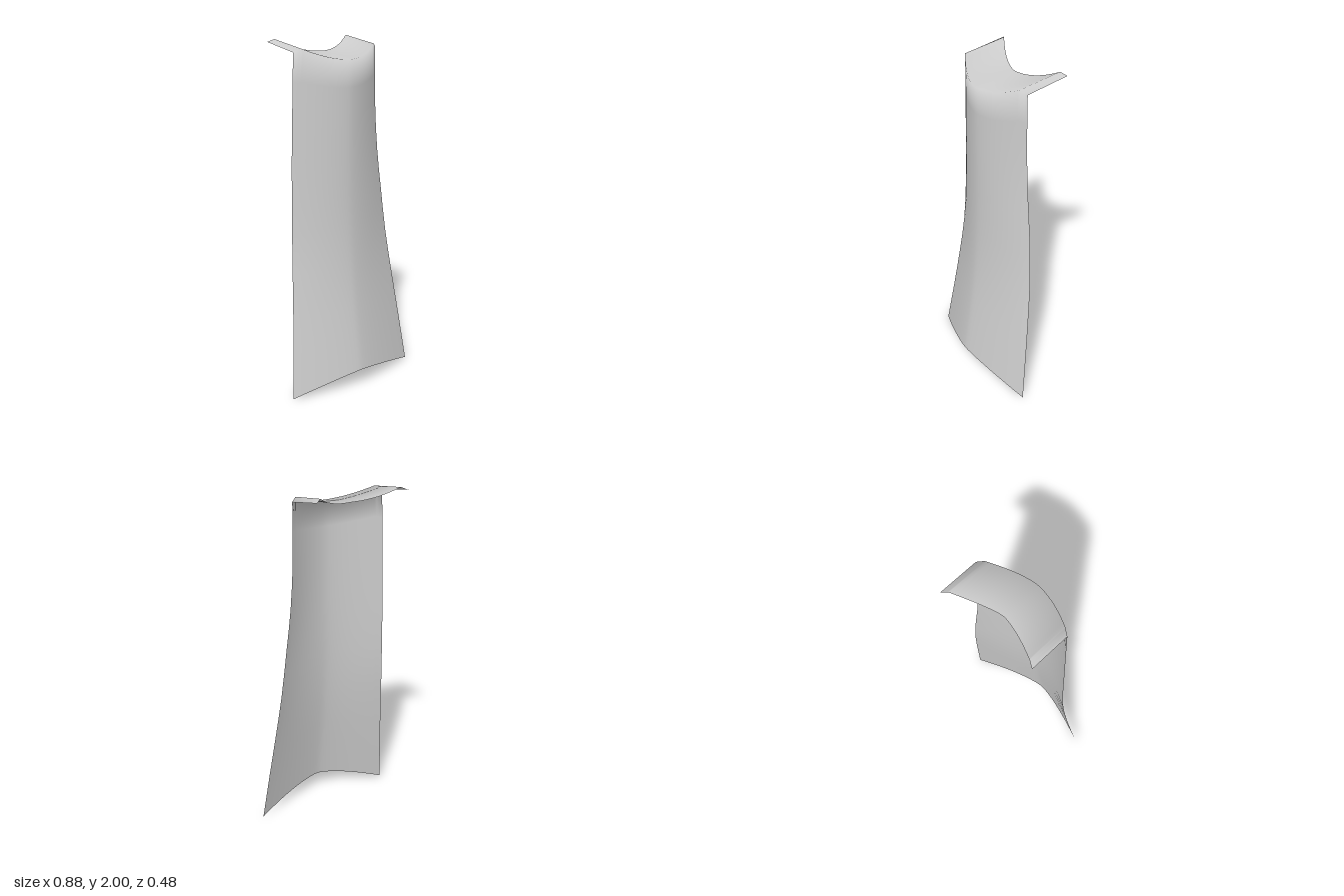
import * as THREE from 'three';

const CX = -0.03;      // x of the lengthwise centre line
const HALF = 20;       // columns on each side of it
const RIDGE = 0.88;    // where the top rim peaks before turning down

// Cross-sections, bottom to top:
// [centre y, edge y, right x, left x, centre z, edge z, bend exponent]
const SECTIONS = [
  [0.10, 0.00, -0.445, 0.440, 0.237, 0.122, 1.40],
  [0.35, 0.30, -0.411, 0.408, 0.199, 0.084, 1.45],
  [0.60, 0.57, -0.385, 0.377, 0.165, 0.050, 1.50],
  [0.85, 0.83, -0.364, 0.347, 0.143, 0.022, 1.60],
  [1.10, 1.10, -0.353, 0.316, 0.133, 0.010, 1.70],
  [1.35, 1.35, -0.347, 0.285, 0.131, 0.006, 1.70],
  [1.60, 1.62, -0.338, 0.266, 0.131, 0.005, 1.70],
];
// Rim curves: [centre y, ridge y, edge y, right x, left x, centre z, edge z, z exponent, y exponent]
const CREASE = [1.90, 1.965, 1.945, -0.327, 0.262, 0.131, 0.005, 1.70, 1.9];
const BACK = [1.93, 2.00, 1.985, -0.320, 0.264, -0.115, -0.240, 1.50, 2.2];

const acrossX = (t, right, left) => CX + Math.abs(t) * ((t < 0 ? right : left) - CX);

function panelPoint([yc, ye, right, left, zc, ze, p], t) {
  const f = Math.abs(t) ** p;
  return new THREE.Vector3(acrossX(t, right, left), yc + (ye - yc) * f, zc + (ze - zc) * f);
}

function rimPoint([yc, yr, ye, right, left, zc, ze, pz, py], t) {
  const a = Math.abs(t);
  const y = a <= RIDGE
    ? yc + (yr - yc) * (a / RIDGE) ** py
    : yr + (ye - yr) * (a - RIDGE) / (1 - RIDGE);
  return new THREE.Vector3(acrossX(t, right, left), y, zc + (ze - zc) * a ** pz);
}

export function createModel() {
  const ts = [];
  for (let i = -HALF; i <= HALF; i++) ts.push(i / HALF);
  ts.push(-RIDGE, RIDGE);
  ts.sort((a, b) => a - b);

  // One lengthwise curve per column, then the flange behind the crease
  const steps = SECTIONS.length * 2;
  const columns = ts.map((t) => {
    const keys = SECTIONS.map((s) => panelPoint(s, t));
    keys.push(rimPoint(CREASE, t));
    const column = new THREE.CatmullRomCurve3(keys).getPoints(steps);
    column.push(rimPoint(BACK, t));
    return column;
  });

  const rows = columns[0].length;
  const index = [];
  for (let c = 0; c < columns.length - 1; c++) {
    for (let r = 0; r < rows - 1; r++) {
      const a = c * rows + r, b = a + rows;
      index.push(a, b, b + 1, a, b + 1, a + 1);
    }
  }
  const geometry = new THREE.BufferGeometry().setFromPoints(columns.flat());
  geometry.setIndex(index);
  geometry.computeVertexNormals();

  const panel = new THREE.Mesh(
    geometry,
    new THREE.MeshStandardMaterial({ color: 0xcccccc, side: THREE.DoubleSide })
  );
  panel.name = 'curvedPanelWithTopFlange';

  const group = new THREE.Group();
  group.name = 'curvedCoverPanel';
  group.add(panel);
  return group;
}
